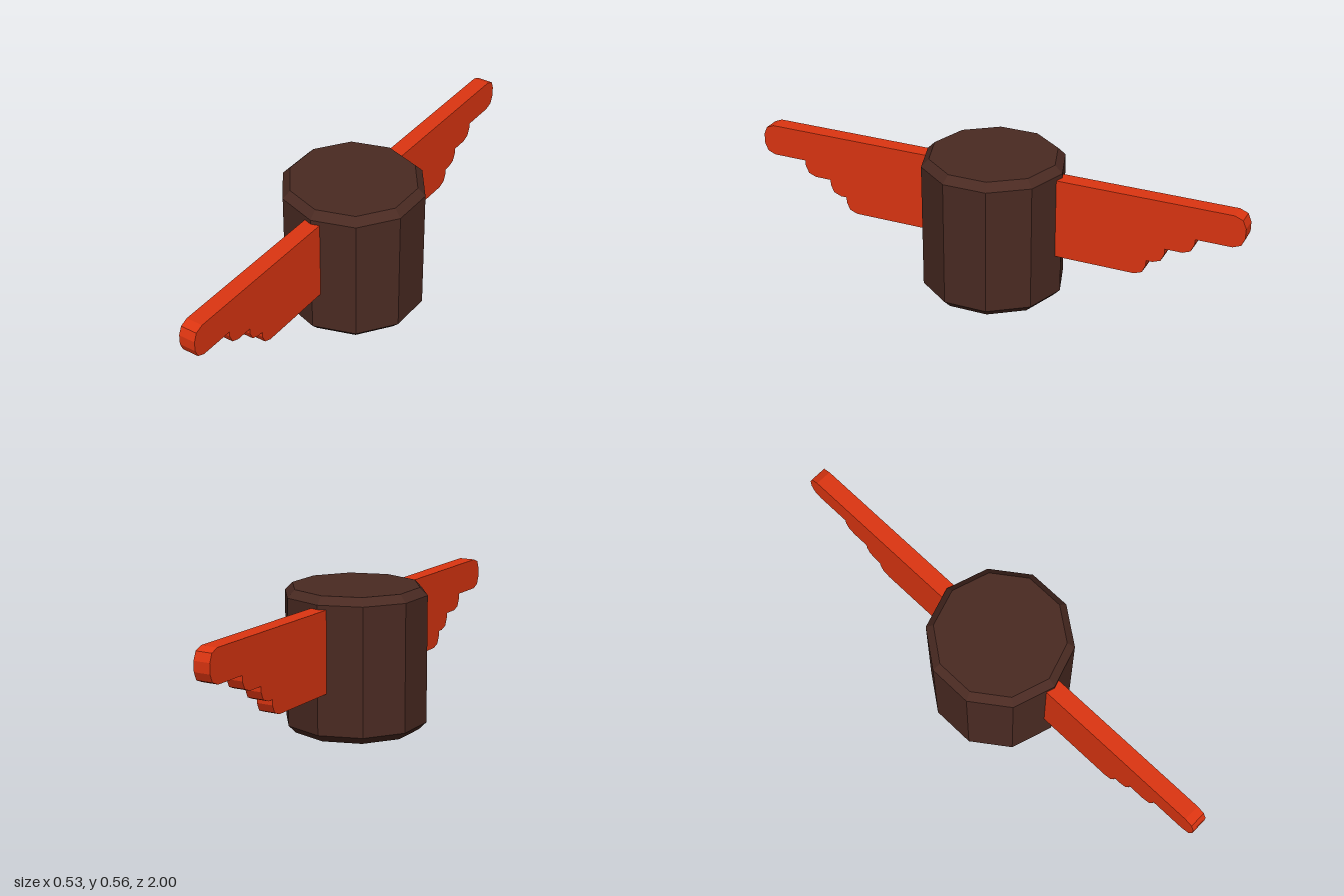
import * as THREE from 'three';

const HUB_RADIUS = 0.28;
const HUB_HEIGHT = 0.56;
const BEVEL = 0.03;
const WING_THICKNESS = 0.066;

// Ten-sided barrel with bevelled rims
function makeHub(material) {
  const profile = [
    [0, 0],
    [HUB_RADIUS - BEVEL, 0],
    [HUB_RADIUS, BEVEL],
    [HUB_RADIUS, HUB_HEIGHT - BEVEL],
    [HUB_RADIUS - BEVEL, HUB_HEIGHT],
    [0, HUB_HEIGHT],
  ].map(([r, y]) => new THREE.Vector2(r, y));
  const hub = new THREE.Mesh(new THREE.LatheGeometry(profile, 10), material);
  hub.name = 'hub';
  return hub;
}

// Wing outline: x runs outward from the hub, y is up
function makeWingGeometry() {
  const shape = new THREE.Shape();
  shape.moveTo(0.2, 0.194);
  // Feather steps, from the lowest and shortest upward
  const feathers = [[0.633, 0.194], [0.703, 0.258], [0.815, 0.322]];
  for (const [reach, bottom] of feathers) {
    shape.lineTo(reach - 0.045, bottom);
    shape.lineTo(reach - 0.014, bottom + 0.012);
    shape.lineTo(reach, bottom + 0.043);
    shape.lineTo(reach, bottom + 0.064);
  }
  // Long top feather with a rounded tip
  shape.lineTo(0.955, 0.386);
  shape.lineTo(0.987, 0.399);
  shape.lineTo(1, 0.43);
  shape.lineTo(1, 0.469);
  shape.lineTo(0.987, 0.5);
  shape.lineTo(0.955, 0.513);
  shape.lineTo(0.2, 0.513);
  shape.closePath();
  const geometry = new THREE.ExtrudeGeometry(shape, { depth: WING_THICKNESS, bevelEnabled: false });
  return geometry.translate(0, 0, -WING_THICKNESS / 2);
}

export function createModel() {
  const brown = new THREE.MeshStandardMaterial({ color: 0x4a2a22, flatShading: true });
  const red = new THREE.MeshStandardMaterial({ color: 0xdd3511, flatShading: true });

  const model = new THREE.Group();
  model.name = 'wingedBarrel';
  model.add(makeHub(brown));

  // One wing to the front, one to the back
  const wingGeometry = makeWingGeometry();
  for (const [name, turn] of [['frontWing', -Math.PI / 2], ['backWing', Math.PI / 2]]) {
    const wing = new THREE.Mesh(wingGeometry, red);
    wing.name = name;
    wing.rotation.y = turn;
    model.add(wing);
  }
  return model;
}
